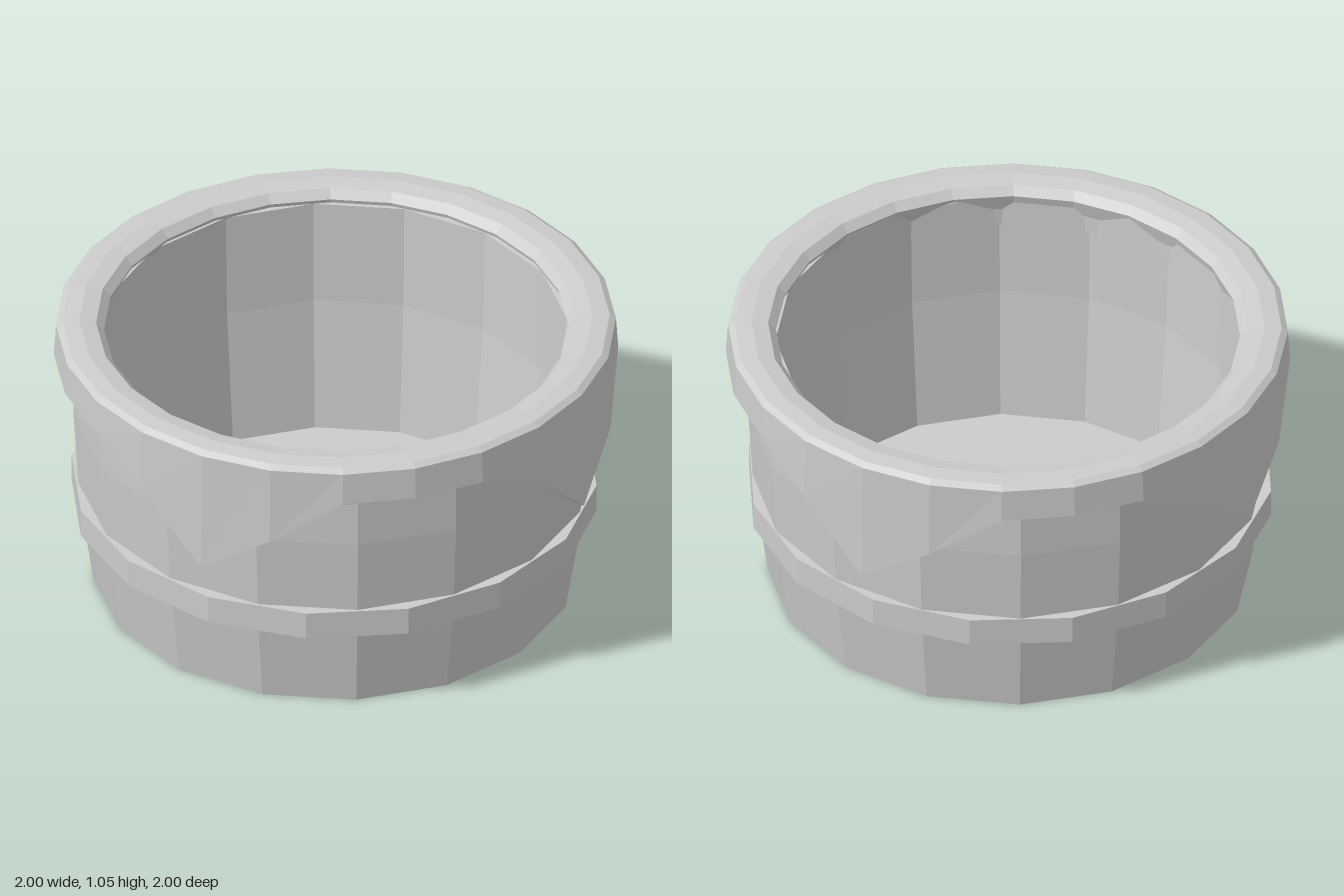
import * as THREE from 'three';

// Faceted loft: sweeps a profile of [radius, height] points round the y axis.
// The profile runs up the outside and down the inside; it may change per side.
function loft(sides, phase, profileAt) {
  const point = (i, j) => {
    const [r, y] = profileAt(i % sides)[j];
    const a = ((i + phase) / sides) * Math.PI * 2;
    return [r * Math.sin(a), y, r * Math.cos(a)];
  };
  const pos = [];
  const count = profileAt(0).length;
  for (let i = 0; i < sides; i++) {
    for (let j = 0; j < count - 1; j++) {
      const a = point(i, j), b = point(i + 1, j);
      const c = point(i + 1, j + 1), d = point(i, j + 1);
      if (profileAt(i)[j][0] > 0) pos.push(...a, ...b, ...c);
      if (profileAt(i)[j + 1][0] > 0) pos.push(...a, ...c, ...d);
    }
  }
  const geo = new THREE.BufferGeometry();
  geo.setAttribute('position', new THREE.Float32BufferAttribute(pos, 3));
  geo.computeVertexNormals();
  return geo;
}

export function createModel() {
  const group = new THREE.Group();
  const grey = new THREE.MeshStandardMaterial({ color: 0xcccccc });
  grey.name = 'light grey';

  const add = (name, geo, x = 0, z = 0) => {
    const mesh = new THREE.Mesh(geo, grey);
    mesh.name = name;
    mesh.position.set(x, 0, z);
    group.add(mesh);
  };

  // Hollow tub with slightly bulging walls and a floor
  const tub = [
    [0, 0], [0.857, 0], [0.908, 0.36], [0.928, 0.7], [0.928, 1.0],
    [0.83, 1.0], [0.82, 0.6], [0.775, 0.09], [0, 0.09],
  ];
  add('tub', loft(16, 0.5, () => tub), -0.008, 0.008);

  // Hoop round the lower part of the tub
  const hoop = [[0.87, 0.31], [0.935, 0.31], [0.935, 0.415], [0.87, 0.415], [0.87, 0.31]];
  add('hoop', loft(16, 0, () => hoop), -0.01, 0.01);

  // Rim with a draped edge: four pointed flaps, repeating every quarter turn
  const hem = [0.915, 0.915, 0.8, 0.57, 0.74, 0.915];
  const rim = (i) => {
    const y = hem[i % 6];
    return [
      [0.84, 0.88], [0.95, 0.88], [0.955, 0.935], [0.975, y], [1, y],
      [0.992, 1.035], [0.97, 1.05], [0.91, 1.055], [0.85, 1.045],
      [0.822, 1.015], [0.84, 0.95], [0.84, 0.88],
    ];
  };
  add('drapedRim', loft(24, 0, rim));

  return group;
}
